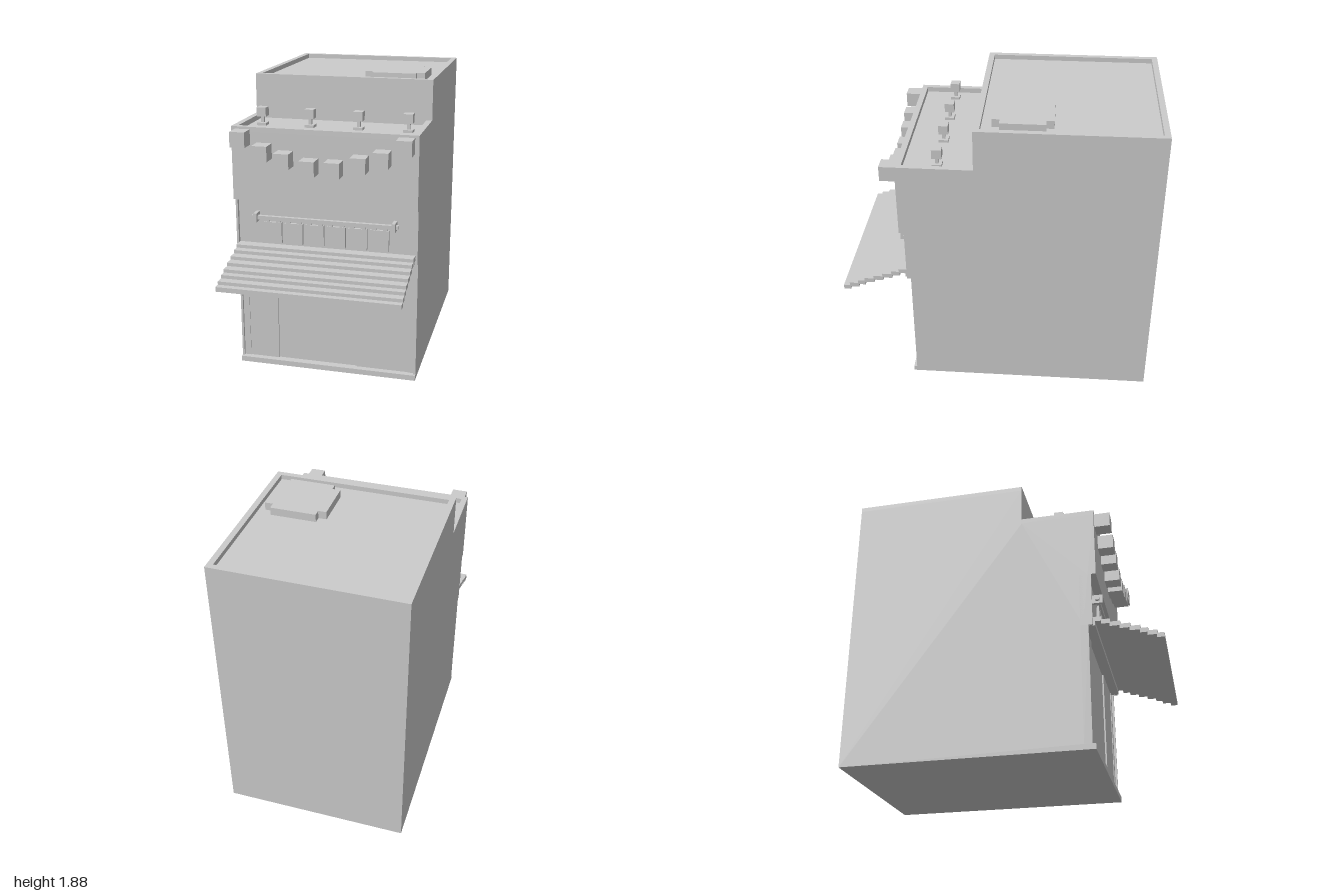
import * as THREE from 'three';

const HALF = 0.587; // half width of the building

export function createModel() {
  const model = new THREE.Group();
  const material = new THREE.MeshStandardMaterial({ color: 0xcccccc, flatShading: true });

  function add(name, geometry, parent = model) {
    const mesh = new THREE.Mesh(geometry, material);
    mesh.name = name;
    parent.add(mesh);
    return mesh;
  }
  // Box given by its limits on each axis
  function box(name, x0, x1, y0, y1, z0, z1, parent) {
    const g = new THREE.BoxGeometry(x1 - x0, y1 - y0, z1 - z0);
    g.translate((x0 + x1) / 2, (y0 + y1) / 2, (z0 + z1) / 2);
    return add(name, g, parent);
  }
  function group(name) {
    const g = new THREE.Group();
    g.name = name;
    model.add(g);
    return g;
  }
  const shapeOf = (points) => new THREE.Shape(points.map(([x, y]) => new THREE.Vector2(x, y)));

  // Main body: side profile (z, y) swept across the width
  const profile = [
    [-1, 0], [0.57, 0], [0.57, 0.035], [0.52, 0.035], [0.52, 0.79], [0.555, 0.79],
    [0.555, 1.14], [0.607, 1.14], [0.607, 1.575], [0.135, 1.575], [0.135, 1.835], [-1, 1.835],
  ];
  const body = new THREE.ExtrudeGeometry(shapeOf(profile), { depth: HALF * 2, bevelEnabled: false });
  body.rotateY(-Math.PI / 2).translate(HALF, 0, 0);
  add('body', body);

  // Parapets around the two roof levels
  const parapets = group('parapets');
  const rim = 0.037;
  for (const s of [-1, 1]) {
    const a = Math.min(s * HALF, s * (HALF - rim)), b = a + rim;
    box('upperSideParapet', a, b, 1.835, 1.865, -1, 0.135, parapets);
    box('lowerSideParapet', a, b, 1.575, 1.608, 0.135, 0.607, parapets);
  }
  const inner = HALF - rim;
  box('upperBackParapet', -inner, inner, 1.835, 1.865, -1, -1 + rim, parapets);
  box('upperFrontParapet', -inner, inner, 1.835, 1.865, 0.135 - rim, 0.135, parapets);
  box('lowerFrontParapet', -inner, inner, 1.575, 1.608, 0.607 - rim, 0.607, parapets);

  // Roof hatch with notched corners
  const [x0, x1, x2, x3] = [0.116, 0.168, 0.458, 0.51];
  const [z0, z1, z2, z3] = [-0.335, -0.288, -0.013, 0.033];
  const hatch = new THREE.ExtrudeGeometry(shapeOf([
    [x1, -z0], [x1, -z1], [x0, -z1], [x0, -z2], [x1, -z2], [x1, -z3],
    [x2, -z3], [x2, -z2], [x3, -z2], [x3, -z1], [x2, -z1], [x2, -z0],
  ]), { depth: 0.05, bevelEnabled: false });
  hatch.rotateX(-Math.PI / 2).translate(0, 1.835, 0);
  add('roofHatch', hatch);

  // Edge piers and jambs framing the recessed front
  const frame = group('frontFrame');
  for (const s of [-1, 1]) {
    const span = (a, b) => [Math.min(s * a, s * b), Math.max(s * a, s * b)];
    box('lowerPier', ...span(0.573, HALF), 0.035, 0.79, 0.5, 0.55, frame);
    box('upperPier', ...span(0.573, HALF), 0.79, 1.14, 0.5, 0.576, frame);
    box('doorJamb', ...span(0.532, 0.573), 0.035, 0.79, 0.5, 0.535, frame);
  }

  // Sliding doors
  box('leftDoor', 0.195, 0.532, 0.035, 0.79, 0.5, 0.53);
  box('rightDoor', -0.532, -0.335, 0.035, 0.79, 0.5, 0.53);

  // Stepped awning, from the outer slat back to the wall
  const awning = group('awning');
  const edges = [1, 0.96, 0.905, 0.86, 0.8, 0.74, 0.68, 0.63, 0.565];
  for (let i = 0; i < 8; i++) {
    const top = 0.7 + i * 0.021;
    box('awningSlat', -0.57, 0.57, top - 0.03, top, edges[i + 1] - 0.005, edges[i], awning);
  }
  box('awningBeam', -0.57, 0.57, 0.79, 0.825, 0.54, 0.588, awning);

  // Curtain rod with wall brackets
  const curtain = group('curtain');
  box('rod', -0.473, 0.47, 1.018, 1.042, 0.582, 0.606, curtain);
  for (const x of [-0.443, 0.443]) {
    box('rodBracket', x - 0.011, x + 0.011, 1.003, 1.06, 0.55, 0.626, curtain);
  }
  // Cloth panels, each hung by two tabs
  for (let i = 0; i < 6; i++) {
    const x = -0.396 + i * 0.1375;
    box('cloth', x, x + 0.118, 0.868, 1.002, 0.577, 0.595, curtain);
    for (const t of [x + 0.008, x + 0.08]) {
      box('clothTab', t, t + 0.03, 1.002, 1.022, 0.58, 0.593, curtain);
    }
  }

  // Garland of cube lanterns along the upper front
  const lanterns = group('lanterns');
  const hang = [[0.078, 1.387], [0.237, 1.425], [0.374, 1.465], [0.513, 1.545]];
  for (const s of [-1, 1]) {
    for (const [x, y] of hang) {
      box('lantern', s * x - 0.048, s * x + 0.048, y - 0.048, y + 0.048, 0.607, 0.707, lanterns);
    }
  }

  // Small lamps standing on the lower roof
  const lamps = group('roofLamps');
  for (let i = 0; i < 4; i++) {
    const x = -0.464 + i * 0.314, z = 0.363;
    box('lampBase', x - 0.03, x + 0.03, 1.575, 1.592, z - 0.03, z + 0.03, lamps);
    box('lampStem', x - 0.01, x + 0.01, 1.592, 1.632, z - 0.01, z + 0.01, lamps);
    box('lampHead', x - 0.03, x + 0.03, 1.632, 1.69, z - 0.03, z + 0.03, lamps);
  }
  return model;
}
